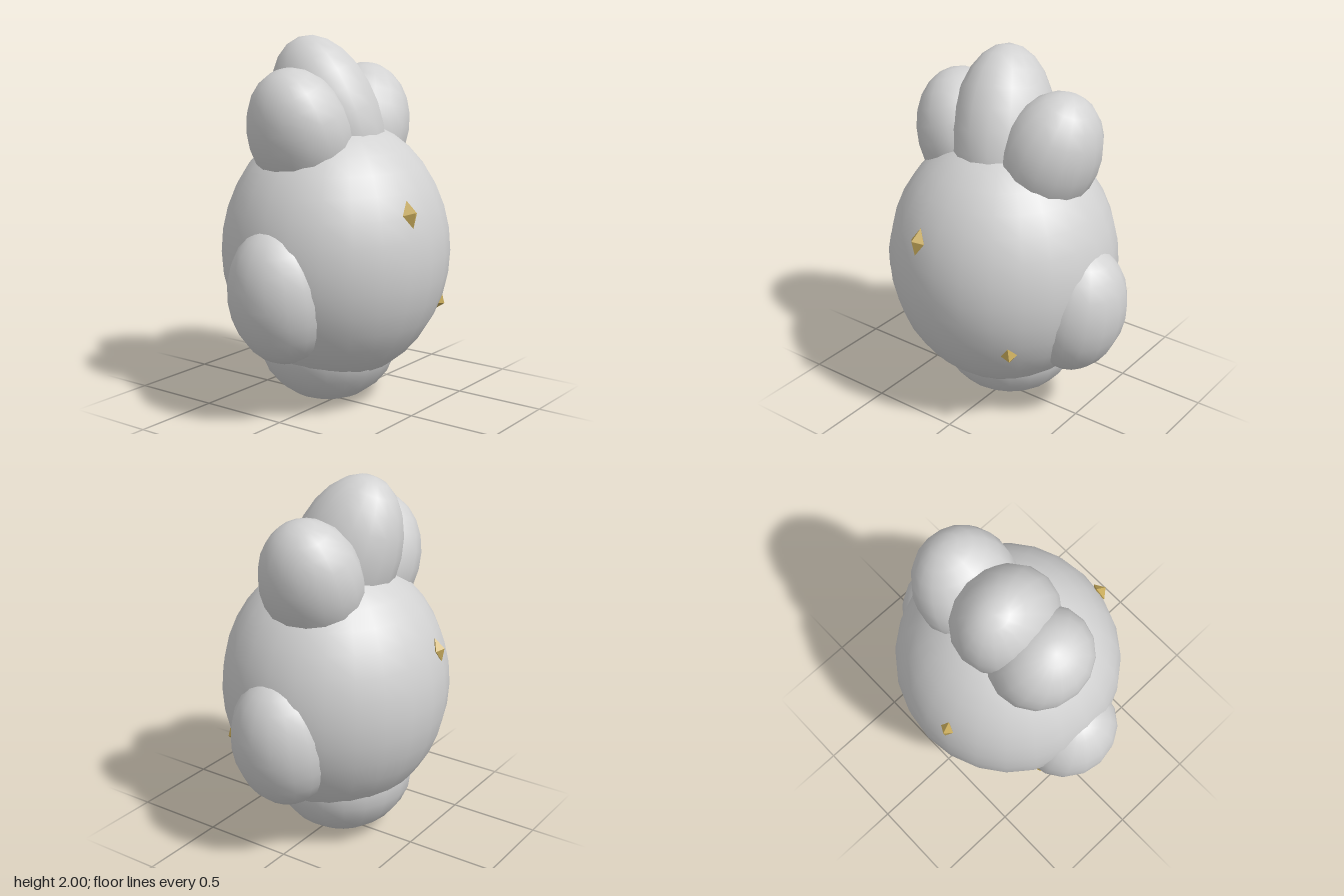
import * as THREE from 'three';

const UP = new THREE.Vector3(0, 1, 0);
const OUT = new THREE.Vector3(0, 0, 1);

export function createModel() {
  const model = new THREE.Group();
  model.name = 'plumpCreature';

  const grey = new THREE.MeshStandardMaterial({ color: 0xd2d2d2 });
  grey.name = 'light grey';
  const gold = new THREE.MeshStandardMaterial({ color: 0xc9ac5c });
  gold.name = 'gold';

  // Ellipsoid with its long axis leaning along a direction
  function lobe(name, center, radii, axis = [0, 1, 0], segments = 16, rings = 12) {
    const geometry = new THREE.SphereGeometry(1, segments, rings);
    geometry.scale(...radii);
    const mesh = new THREE.Mesh(geometry, grey);
    mesh.name = name;
    mesh.position.set(...center);
    mesh.quaternion.setFromUnitVectors(UP, new THREE.Vector3(...axis).normalize());
    model.add(mesh);
  }

  // Body and rounded base
  const bodyCenter = [0, 0.86, 0];
  const bodyRadii = [0.63, 0.715, 0.615];
  lobe('body', bodyCenter, bodyRadii, UP.toArray(), 24, 18);
  lobe('base', [0, 0.365, -0.05], [0.4, 0.36, 0.385], UP.toArray(), 20, 12);

  // Crest: tall middle lobe leaning back, one shorter lobe on each side
  lobe('crestMiddle', [-0.025, 1.56, -0.035], [0.265, 0.462, 0.295], [-0.16, 1, -0.33]);
  for (const side of [-1, 1]) {
    const label = side > 0 ? 'Left' : 'Right';
    lobe('crest' + label, [side * 0.27, 1.5, -0.035], [0.258, 0.358, 0.28], [side * 0.36, 1, -0.07]);
    lobe('sideLobe' + label, [side * 0.485, 0.69, 0], [0.262, 0.37, 0.28], [side * 0.16, 1, 0]);
  }

  // Small gold studs facing out from the body surface
  function stud(name, position, size) {
    const geometry = new THREE.OctahedronGeometry(1, 0);
    geometry.scale(...size);
    const mesh = new THREE.Mesh(geometry, gold);
    mesh.name = name;
    mesh.position.set(...position);
    const normal = new THREE.Vector3(
      ...position.map((p, i) => (p - bodyCenter[i]) / bodyRadii[i] ** 2)
    ).normalize();
    mesh.quaternion.setFromUnitVectors(OUT, normal);
    if (normal.z < 0) {
      // Keep rear studs upright
      mesh.lookAt(mesh.position.clone().add(normal));
    }
    model.add(mesh);
  }
  stud('studFrontUpper', [-0.13, 1.122, 0.56], [0.05, 0.074, 0.042]);
  stud('studFrontLower', [0.355, 0.555, 0.432], [0.042, 0.058, 0.042]);
  stud('studBackUpper', [-0.13, 1.122, -0.56], [0.038, 0.066, 0.035]);
  stud('studBackLower', [-0.495, 0.51, -0.23], [0.035, 0.05, 0.035]);

  return model;
}
